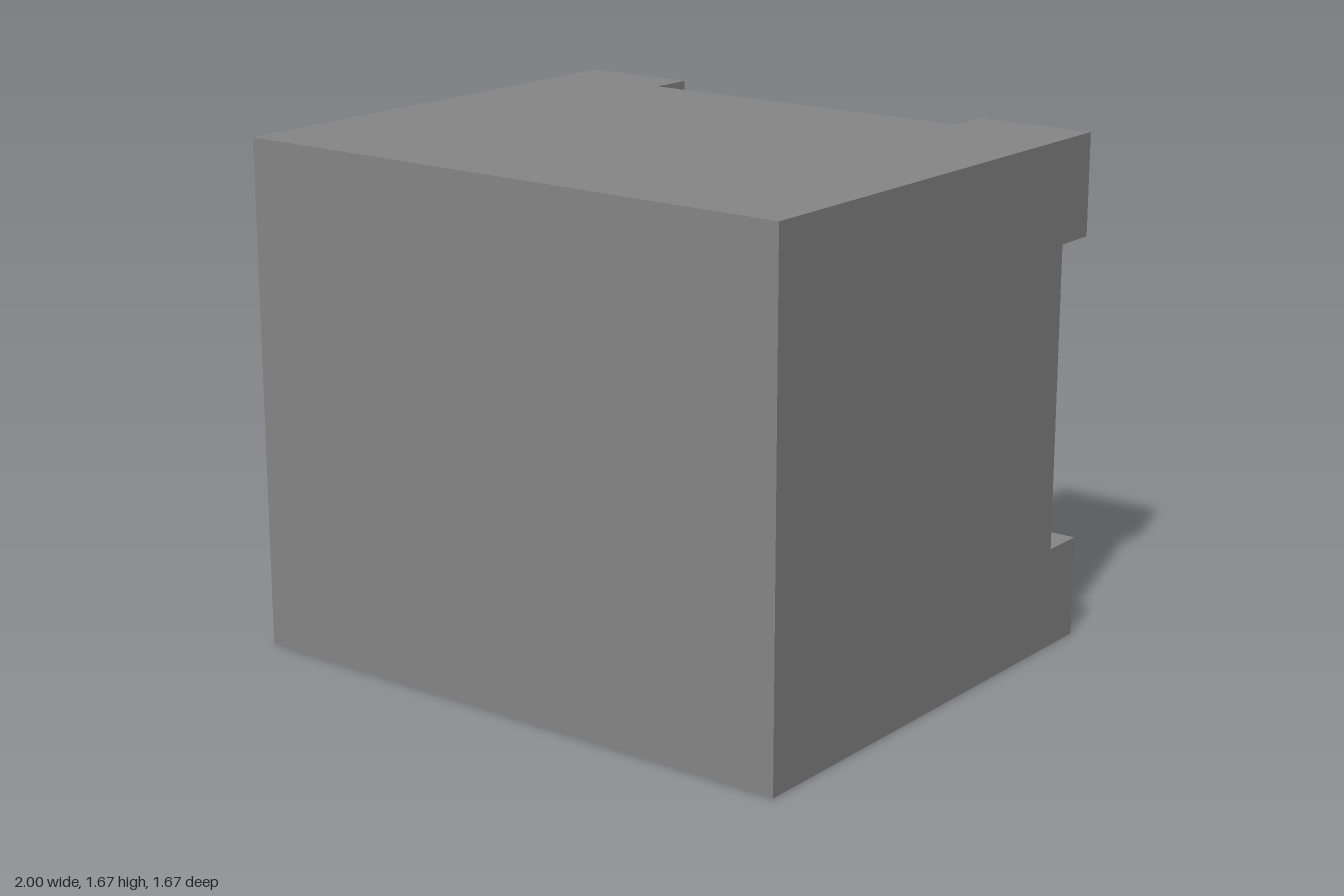
import * as THREE from 'three';

const WIDTH = 2, HEIGHT = 1.667, HALF_DEPTH = 0.833;
const PEG = { w: 0.4, h: 0.333, d: 0.15 };

export function createModel() {
  const group = new THREE.Group();
  const material = new THREE.MeshStandardMaterial({ color: 0x868686 });

  const addBox = (name, w, h, d, x, y, z) => {
    const mesh = new THREE.Mesh(new THREE.BoxGeometry(w, h, d), material);
    mesh.name = name;
    mesh.position.set(x, y, z);
    group.add(mesh);
  };

  // Solid main block, its back face set in by the peg depth
  addBox('body', WIDTH, HEIGHT, 2 * HALF_DEPTH - PEG.d, 0, HEIGHT / 2, PEG.d / 2);

  // Four corner pegs standing out from the back, flush with the sides
  for (const [side, sx] of [['left', 1], ['right', -1]]) {
    for (const [level, y] of [['Lower', PEG.h / 2], ['Upper', HEIGHT - PEG.h / 2]]) {
      addBox(`${side}${level}Peg`, PEG.w, PEG.h, PEG.d,
        sx * (WIDTH - PEG.w) / 2, y, -HALF_DEPTH + PEG.d / 2);
    }
  }
  return group;
}
